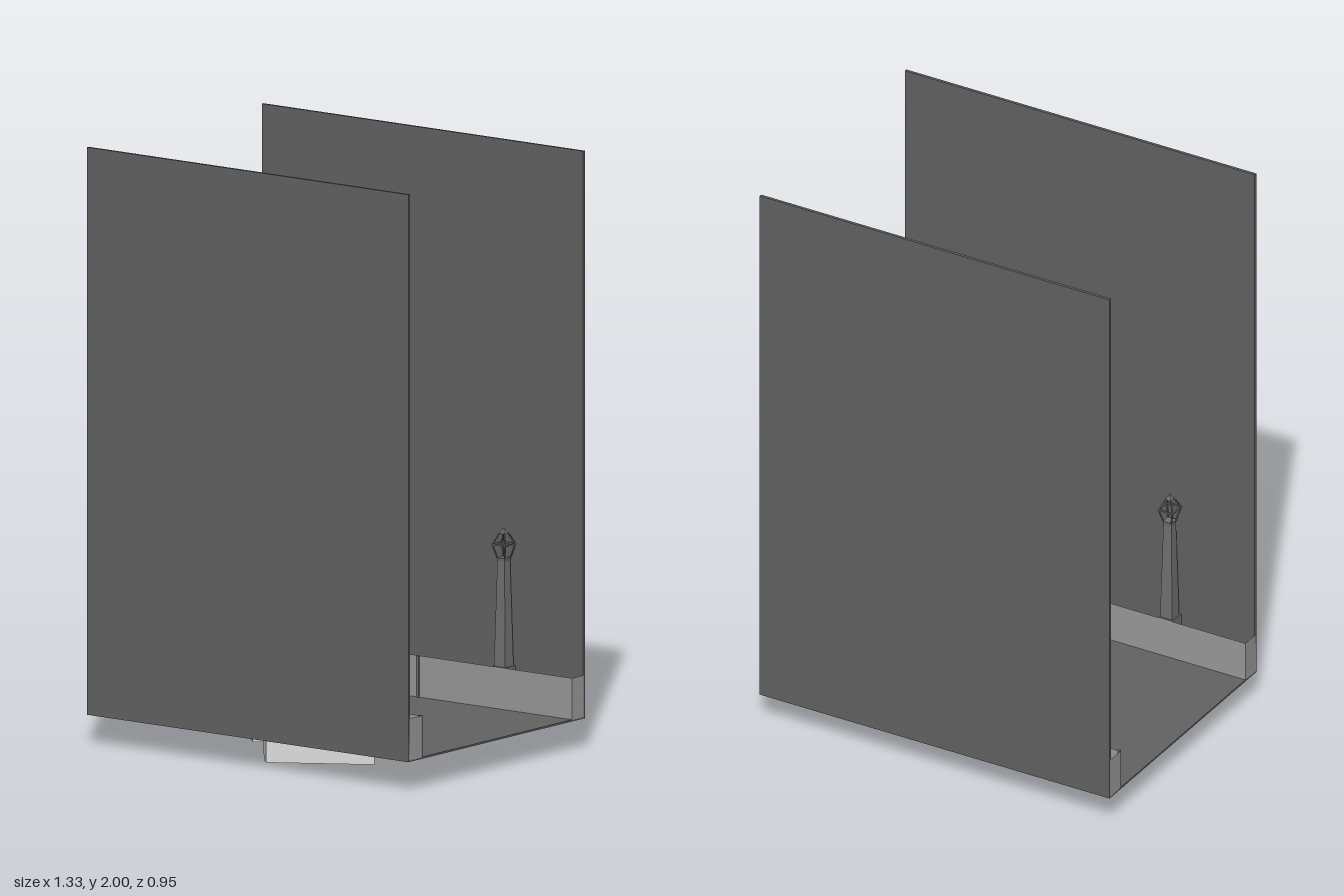
import * as THREE from 'three';

const mat = (color) => new THREE.MeshStandardMaterial({ color, flatShading: true, side: THREE.DoubleSide });
const dark = mat(0x626262), metal = mat(0x707070), rail = mat(0x999999), grey = mat(0xcccccc);

function add(parent, name, geo, material, x = 0, y = 0, z = 0) {
  const m = new THREE.Mesh(geo, material);
  m.name = name;
  m.position.set(x, y, z);
  parent.add(m);
  return m;
}
const box = (w, h, d) => new THREE.BoxGeometry(w, h, d);

// Four-sided tapered column, widths measured across the flats
function taper(topW, bottomW, h, open = false) {
  return new THREE.CylinderGeometry(topW / Math.SQRT2, bottomW / Math.SQRT2, h, 4, 1, open).rotateY(Math.PI / 4);
}

// Thin square bar between two points
function bar(parent, a, b, t) {
  const len = a.distanceTo(b);
  const m = add(parent, 'lanternBar', box(t, len, t), metal);
  m.position.copy(a).add(b).multiplyScalar(0.5);
  m.quaternion.setFromUnitVectors(new THREE.Vector3(0, 1, 0), b.clone().sub(a).normalize());
}

function lampPost(x, z) {
  const g = new THREE.Group();
  g.name = 'lampPost';
  g.position.set(x, 0, z);
  add(g, 'lampBase', box(0.056, 0.14, 0.056), metal, 0, 0.175);
  add(g, 'lampPole', taper(0.03, 0.046, 0.355), metal, 0, 0.4225);
  add(g, 'lanternSeat', taper(0.034, 0.03, 0.012), metal, 0, 0.602);
  // Open lantern cage with sloping corner bars
  const rings = [[0.015, 0.607], [0.027, 0.653], [0.01, 0.69]];
  const corner = ([r, y], i) => new THREE.Vector3(i % 3 ? r : -r, y, i < 2 ? r : -r);
  for (let i = 0; i < 4; i++) {
    bar(g, corner(rings[0], i), corner(rings[1], i), 0.004);
    bar(g, corner(rings[1], i), corner(rings[2], i), 0.004);
    bar(g, corner(rings[1], i), corner(rings[1], (i + 1) % 4), 0.005);
  }
  add(g, 'lanternCap', taper(0.012, 0.022, 0.008), metal, 0, 0.692);
  add(g, 'lanternFinial', taper(0.004, 0.014, 0.012), metal, 0, 0.7);
  return g;
}

// Skewed, bowed placement: u runs along the broken panel, v runs back along the side arms
function warp(geo) {
  const p = geo.attributes.position;
  for (let i = 0; i < p.count; i++) {
    const u = p.getX(i), y = p.getY(i), v = -p.getZ(i);
    const bow = 0.03 * (1 - y / 0.4) ** 2;
    p.setXYZ(i, -0.035 + 0.305 * u - 0.225 * v + bow * 0.75, y, 0.33 - 0.187 * u - 0.205 * v + bow);
  }
  geo.computeVertexNormals();
  return geo;
}

// Bowed block given by its ranges; rise lifts the far end of v
function block(u0, u1, y0, y1, v0, v1, rise = 0, jag = 0, nu = 1) {
  const geo = new THREE.BoxGeometry(u1 - u0, y1 - y0, v1 - v0, nu, 8, 2);
  geo.translate((u0 + u1) / 2, (y0 + y1) / 2, -(v0 + v1) / 2);
  const p = geo.attributes.position;
  for (let i = 0; i < p.count; i++) {
    const v = -p.getZ(i), y = p.getY(i);
    let dy = rise * v;
    if (jag && y > y1 - 1e-4) {
      const k = Math.round((p.getX(i) - u0) / (u1 - u0) * nu);
      dy += (k % 2 ? -jag : 0) + (k % 3 ? 0 : jag * 0.4);
    }
    p.setY(i, y + dy);
  }
  return warp(geo);
}

function brokenFrame() {
  const g = new THREE.Group();
  g.name = 'brokenFrame';
  add(g, 'curvedPanel', block(0, 1, 0, 0.61, 0, 0.1, 0, 0.02, 9), grey);
  for (const [u, top] of [[0, 0.6], [0.86, 0.57]]) {
    add(g, 'cornerPost', block(u, u + 0.14, 0.02, 0.615, 0.1, 0.19), grey);
    add(g, 'endPost', block(u, u + 0.14, 0.02, top, 0.83, 1, 0, 0.012), grey);
    for (const y of [0.085, 0.245, 0.41]) {
      add(g, 'sideSlat', block(u + 0.02, u + 0.12, y, y + 0.07, 0.15, 0.88, 0.025), grey);
    }
  }
  return g;
}

export function createModel() {
  const model = new THREE.Group();
  model.name = 'alley';
  add(model, 'floor', box(1.333, 0.006, 0.95), dark, 0, 0.103);

  for (const s of [1, -1]) {
    add(model, s > 0 ? 'frontWall' : 'backWall', box(1.333, 1.9, 0.01), dark, 0, 1.05, s * 0.471);
    // Low kerb screen, open on top, with closed ends and small stakes
    add(model, 'kerbScreen', new THREE.PlaneGeometry(1.333, 0.14), rail, 0, 0.175, s * 0.405);
    for (const e of [1, -1]) {
      add(model, 'kerbEnd', new THREE.PlaneGeometry(0.07, 0.14).rotateY(e * Math.PI / 2), rail, e * 0.6665, 0.175, s * 0.44);
    }
    for (const x of [0.66, -0.03]) add(model, 'kerbStake', box(0.01, 0.14, 0.01), metal, s * x, 0.175, s * 0.403);
    for (const x of [-0.36, 0.3]) model.add(lampPost(s * x, s * 0.436));
  }

  model.add(brokenFrame());
  return model;
}
